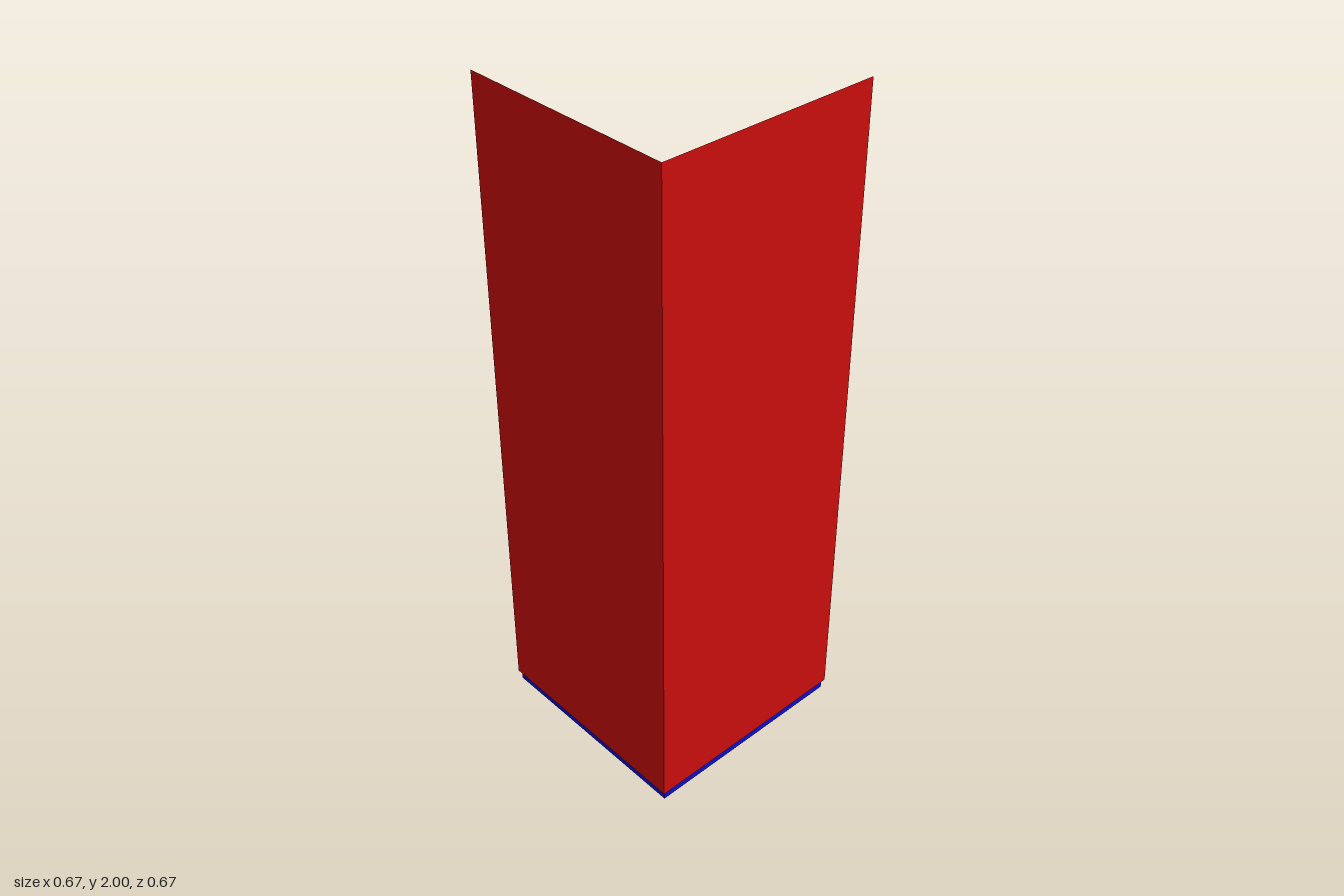
import * as THREE from 'three';

const HALF = 0.333;   // half width of each wing
const INSET = 0.32;   // recessed plane of the base
const BASE = 0.04;    // height of the base
const HEIGHT = 2;

export function createModel() {
  const model = new THREE.Group();
  const material = (color) => new THREE.MeshStandardMaterial({ color, side: THREE.DoubleSide });
  const red = material(0xcc0d0d);
  const blue = material(0x0d0dcc);

  const add = (name, geometry, mat) => {
    const mesh = new THREE.Mesh(geometry, mat);
    mesh.name = name;
    model.add(mesh);
  };

  // A pair of upright sheets meeting at the front left corner
  const addWings = (name, corner, y0, y1, mat) => {
    const width = corner + HALF;
    const sheet = () => new THREE.PlaneGeometry(width, y1 - y0);
    const mid = (corner - HALF) / 2;
    const y = (y0 + y1) / 2;
    add(name + 'Front', sheet().translate(mid, y, corner), mat);
    add(name + 'Left', sheet().rotateY(Math.PI / 2).translate(corner, y, mid), mat);
  };

  addWings('panel', HALF, BASE, HEIGHT, red);
  addWings('recessedBase', INSET, 0, BASE, blue);

  // Flat L-shaped ledge joining the panels to the recessed base
  const ledge = new THREE.Shape([
    [-HALF, INSET], [INSET, INSET], [INSET, -HALF],
    [HALF, -HALF], [HALF, HALF], [-HALF, HALF],
  ].map(([x, z]) => new THREE.Vector2(x, z)));
  add('ledge', new THREE.ShapeGeometry(ledge).rotateX(Math.PI / 2).translate(0, BASE, 0), blue);

  return model;
}
